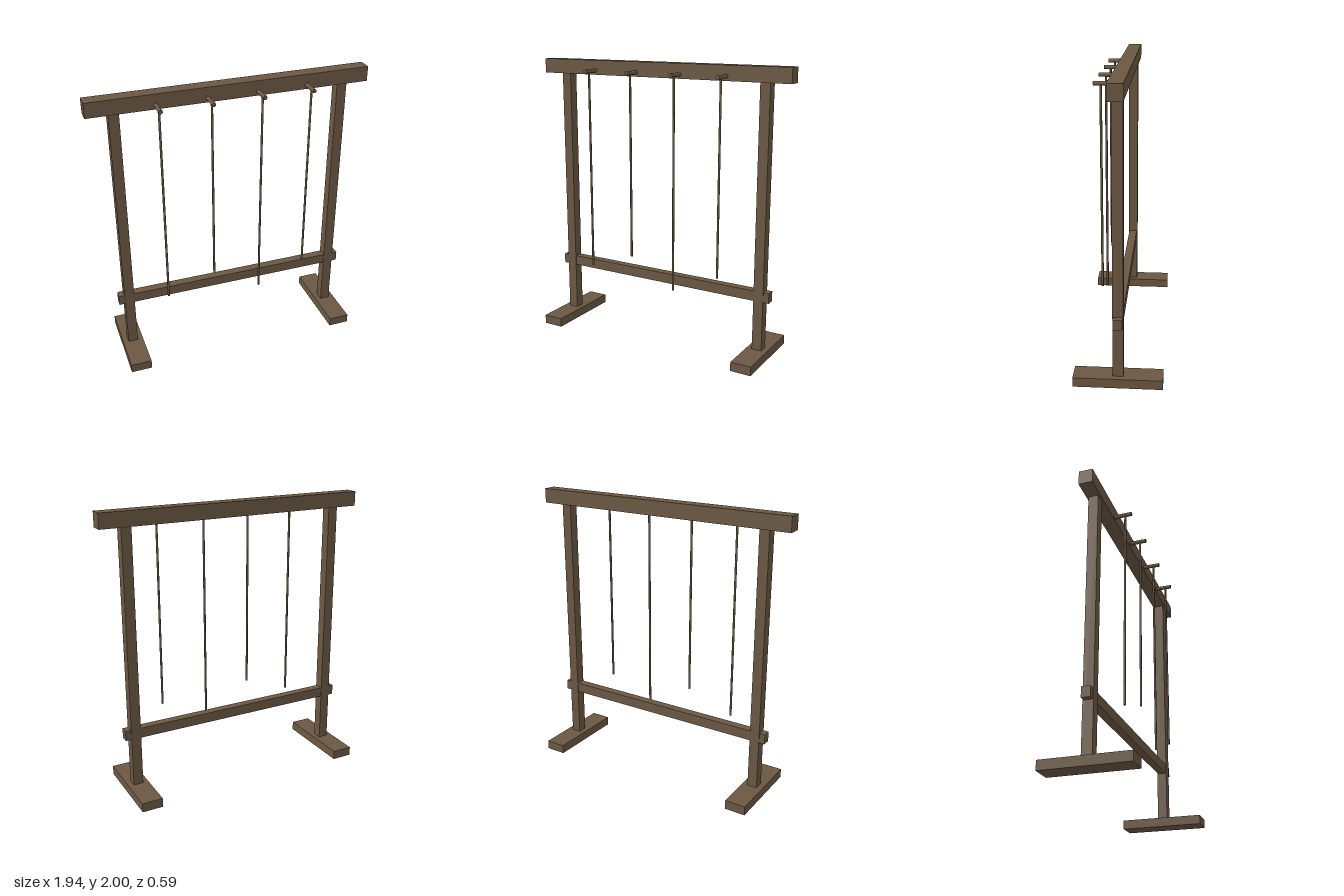
import * as THREE from 'three';

export function createModel() {
  const model = new THREE.Group();
  model.name = 'hangingRack';
  const wood = new THREE.MeshStandardMaterial({ color: 0x6b5843, flatShading: true });
  const smoothWood = new THREE.MeshStandardMaterial({ color: 0x6b5843 });

  function add(name, geometry, material, x, y, z) {
    const mesh = new THREE.Mesh(geometry, material);
    mesh.name = name;
    mesh.position.set(x, y, z);
    model.add(mesh);
    return mesh;
  }
  // Box given by its width, depth and bottom and top heights
  const beam = (name, x, w, d, y0, y1) =>
    add(name, new THREE.BoxGeometry(w, y1 - y0, d), wood, x, (y0 + y1) / 2, 0);

  // Frame
  beam('topBeam', 0, 1.942, 0.097, 1.897, 2);
  beam('lowerRail', 0, 1.726, 0.06, 0.418, 0.49);
  for (const [side, s] of [['left', 1], ['right', -1]]) {
    beam(side + 'Post', s * 0.788, 0.07, 0.07, 0.065, 1.897);
    beam(side + 'Foot', s * 0.788, 0.149, 0.59, 0, 0.065);
  }

  // Pegs on the front of the beam, each with a hanging cord
  const pegY = 1.927, pegStart = 0.04, pegEnd = 0.172, cordZ = 0.125;
  const cordEnds = [0.483, 0.61, 0.414, 0.567];
  cordEnds.forEach((end, i) => {
    const x = (i - 1.5) * 0.346;
    const peg = new THREE.CylinderGeometry(0.014, 0.014, pegEnd - pegStart, 10);
    add('peg' + (i + 1), peg, smoothWood, x, pegY, (pegStart + pegEnd) / 2).rotation.x = Math.PI / 2;
    const cord = new THREE.CylinderGeometry(0.008, 0.008, pegY - end, 8);
    add('cord' + (i + 1), cord, smoothWood, x, (pegY + end) / 2, cordZ);
  });

  return model;
}
